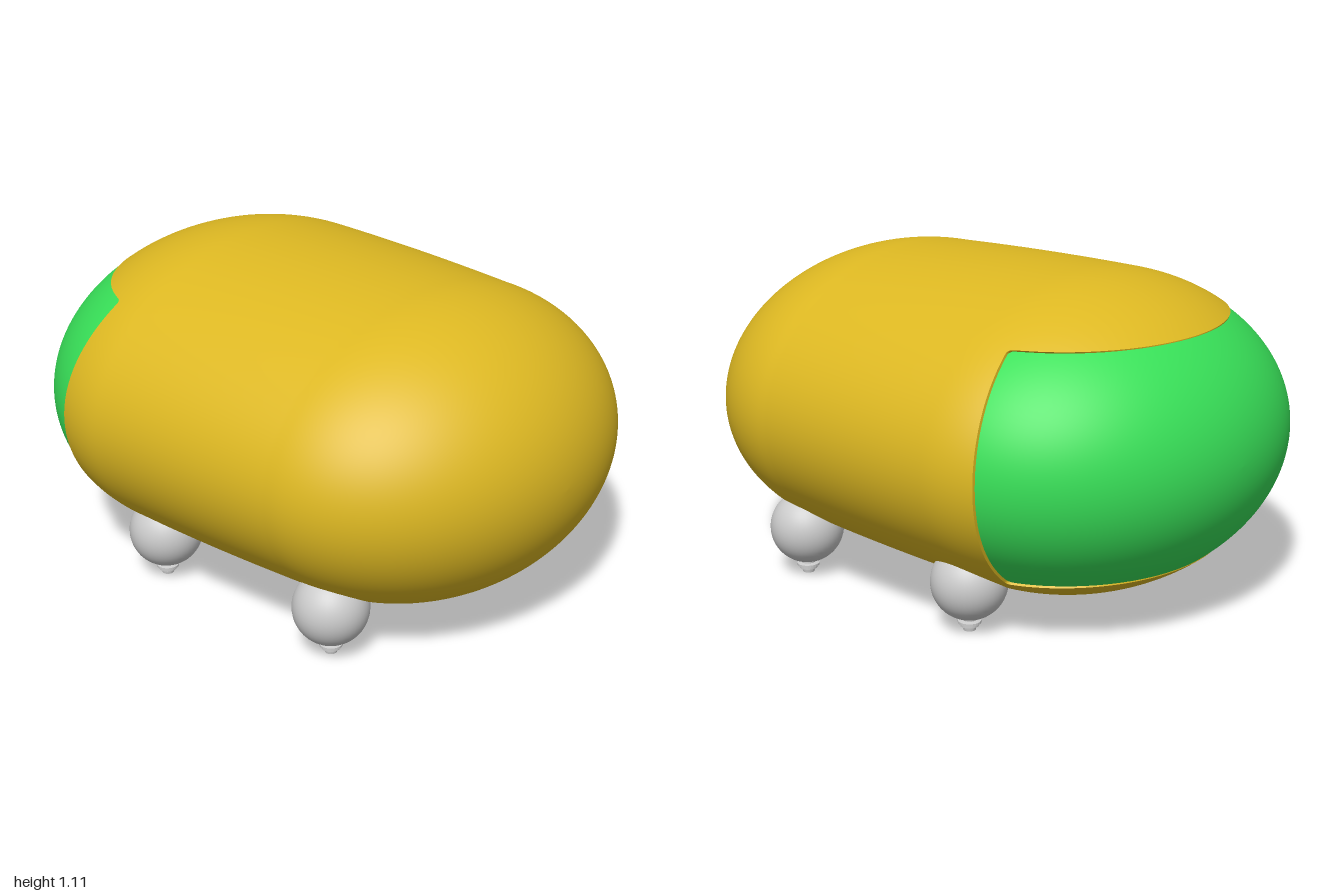
import * as THREE from 'three';

const RX = 0.755, RY = 0.528, CY = 0.585;   // widest cross-section and its height
const FRONT = 0.4, BACK = -0.35;            // where the domes begin
const CUT = 0.38;                           // half height of the rear opening
const BACK_LEN = 0.645;

const yellow = new THREE.MeshStandardMaterial({ color: 0xddb822, side: THREE.DoubleSide });
const green = new THREE.MeshStandardMaterial({ color: 0x38e058, side: THREE.DoubleSide });
const grey = new THREE.MeshStandardMaterial({ color: 0xcccccc });

// Relative size of the elliptical cross-section at z
function radiusAt(z, backLen) {
  const taper = 0.965;
  if (z > FRONT) return taper * Math.sqrt(Math.max(0, 1 - ((z - FRONT) / 0.6) ** 2));
  if (z > BACK) return 1 - (1 - taper) * ((z - BACK) / (FRONT - BACK)) ** 2;
  return Math.sqrt(Math.max(0, 1 - ((z - BACK) / backLen) ** 2));
}

// Where the shell ends behind, at an angle around the z axis
function shellEnd(angle) {
  const y = Math.abs(RY * Math.sin(angle));
  const side = -0.535 + 0.055 * Math.min(1, y / CUT) ** 2;
  const cut = y > CUT ? BACK - BACK_LEN * Math.sqrt(1 - (CUT / y) ** 2) : BACK;
  const k = 0.03, h = Math.max(k - Math.abs(side - cut), 0) / k;
  return Math.min(side, cut) - h * h * k / 4;
}

// Closed rings of points: point(angle, j) for j = 0..rows, front to back
function loft(cols, rows, point) {
  const pos = [], index = [];
  for (let j = 0; j <= rows; j++) {
    for (let i = 0; i < cols; i++) pos.push(...point(i / cols * Math.PI * 2, j));
  }
  for (let j = 0; j < rows; j++) {
    for (let i = 0; i < cols; i++) {
      const n = (i + 1) % cols;
      const a = j * cols + i, b = j * cols + n, c = a + cols, d = b + cols;
      index.push(a, c, b, b, c, d);
    }
  }
  const g = new THREE.BufferGeometry();
  g.setAttribute('position', new THREE.Float32BufferAttribute(pos, 3));
  g.setIndex(index);
  g.computeVertexNormals();
  return g;
}

const ringPoint = (angle, r, z) =>
  [RX * r * Math.cos(angle), CY + RY * r * Math.sin(angle), z];

export function createModel() {
  const model = new THREE.Group();
  const add = (name, geometry, material, parent = model) => {
    const mesh = new THREE.Mesh(geometry, material);
    mesh.name = name;
    parent.add(mesh);
    return mesh;
  };

  // Outer shell: front dome, gently tapered middle, cut open at the back
  const domeRows = 36, bodyRows = 50;
  add('bodyShell', loft(320, domeRows + bodyRows, (angle, j) => {
    const z = j <= domeRows
      ? FRONT + 0.6 * Math.cos(j / domeRows * Math.PI / 2)
      : THREE.MathUtils.lerp(FRONT, shellEnd(angle), (j - domeRows) / bodyRows);
    return ringPoint(angle, radiusAt(z, BACK_LEN), z);
  }), yellow);

  // Thickness of the shell around the opening
  add('shellRim', loft(320, 1, (angle, j) => {
    const z = shellEnd(angle);
    return ringPoint(angle, radiusAt(z, BACK_LEN) * (j ? 0.975 : 1), z);
  }), yellow);

  // Rear dome set just inside the shell
  add('rearDome', loft(128, 40, (angle, j) => {
    const t = j / 40 * Math.PI / 2;
    return ringPoint(angle, 0.985 * Math.cos(t), BACK - 0.65 * Math.sin(t));
  }), green);

  // Four ball feet with stepped tips
  const tip = [[0, 0.004], [0.02, 0.006], [0.022, 0.018], [0.03, 0.02], [0.03, 0.027],
    [0.038, 0.03], [0.038, 0.038], [0.024, 0.041], [0.024, 0.06]]
    .map(([r, y]) => new THREE.Vector2(r, y));
  const ballGeometry = new THREE.SphereGeometry(0.126, 40, 28);
  const tipGeometry = new THREE.LatheGeometry(tip, 24).toNonIndexed();
  tipGeometry.computeVertexNormals();
  for (const [end, z] of [['front', 0.46], ['rear', -0.305]]) {
    for (const [side, s] of [['Left', 1], ['Right', -1]]) {
      const foot = new THREE.Group();
      foot.name = end + side + 'Foot';
      foot.position.set(s * 0.494, 0, z);
      add('footBall', ballGeometry, grey, foot).position.y = 0.168;
      add('footTip', tipGeometry, grey, foot).position.y = -0.004;
      model.add(foot);
    }
  }
  return model;
}
